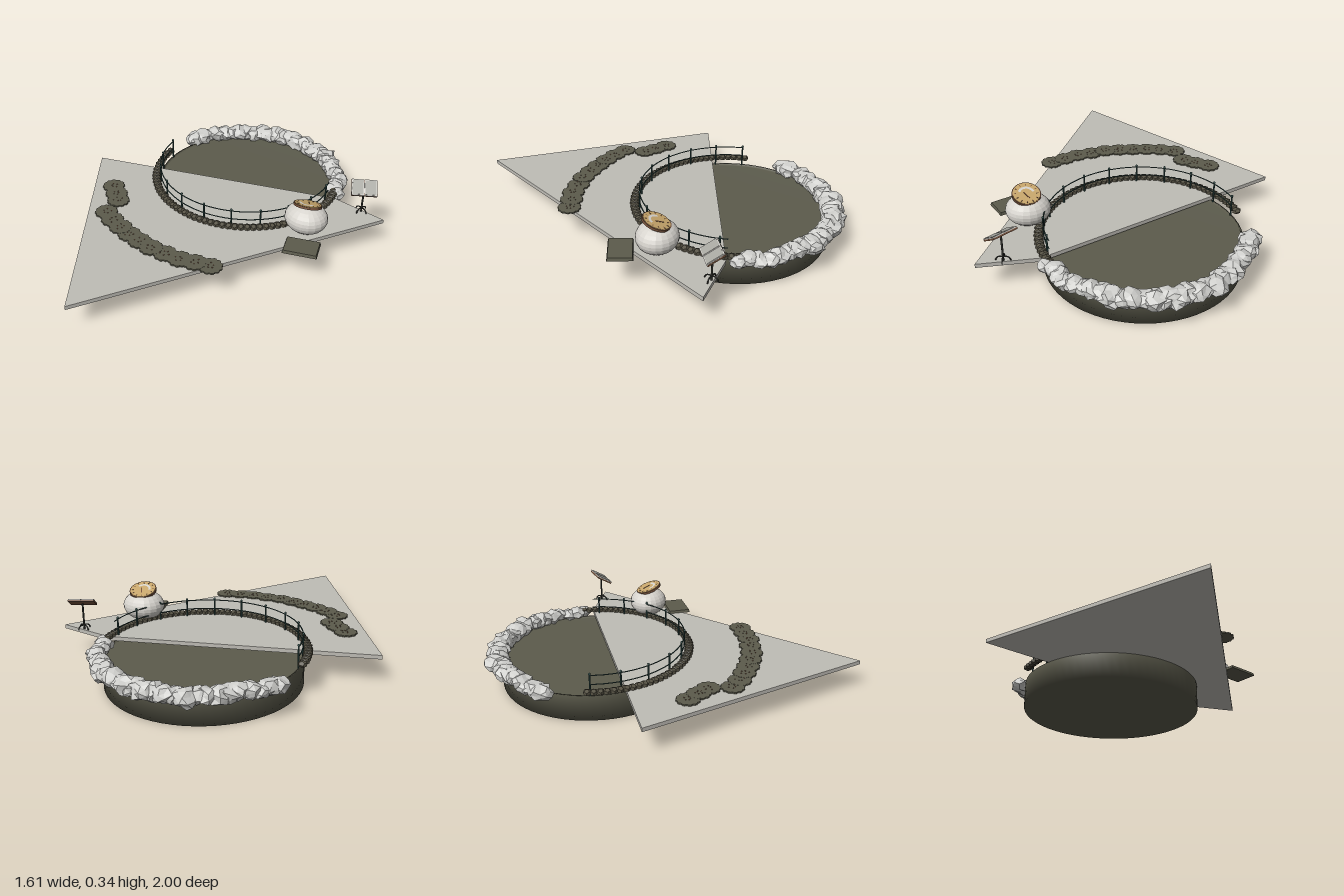
import * as THREE from 'three';

const mat = (name, color, extra = {}) => {
  const m = new THREE.MeshStandardMaterial({ color, ...extra });
  m.name = name;
  return m;
};

export function createModel() {
  const root = new THREE.Group();
  root.name = 'pondTerrace';
  const M = {
    olive: mat('olive', 0x5c5b4c),
    stone: mat('dark stone', 0x565244, { flatShading: true }),
    paving: mat('paving', 0xbfbdb6),
    rock: mat('rock', 0xd0d0cd, { flatShading: true }),
    ball: mat('pale stone', 0xd6d3cd, { flatShading: true }),
    teal: mat('railing teal', 0x2c4844),
    brown: mat('brown', 0x73503a),
    tan: mat('tan', 0xc8a76c),
    grey: mat('panel grey', 0xaaaaa3),
    dark: mat('dark metal', 0x33342f),
  };
  const add = (name, geo, material, x = 0, y = 0, z = 0, parent = root) => {
    const m = new THREE.Mesh(geo, material);
    m.name = name;
    m.position.set(x, y, z);
    parent.add(m);
    return m;
  };
  const group = (name, x = 0, y = 0, z = 0, parent = root) => {
    const g = new THREE.Group();
    g.name = name;
    g.position.set(x, y, z);
    parent.add(g);
    return g;
  };
  let seed = 7;
  const rand = () => (seed = (seed * 16807) % 2147483647) / 2147483647;

  // Points on circles around the pond; angle in degrees from the front (+z)
  const CX = -0.02, CZ = -0.42, TOP = 0.159;
  const around = (deg, r, y) => {
    const a = THREE.MathUtils.degToRad(deg);
    return new THREE.Vector3(CX + r * Math.sin(a), y, CZ + r * Math.cos(a));
  };

  // Round basin with a thin rim and slightly sunken surface
  const profile = [[0, 0], [0.497, 0], [0.497, 0.137], [0.487, 0.137], [0.487, 0.125], [0, 0.125]];
  const basinGeo = new THREE.LatheGeometry(profile.map(([x, y]) => new THREE.Vector2(x, y)), 64);
  add('basin', basinGeo, M.olive, CX, 0, CZ);

  // Pointed paving slab reaching over half of the basin
  const outline = [[-0.805, -0.04], [0.5, -0.537], [0.805, -0.523], [-0.01, 0.995]];
  const slab = new THREE.Shape(outline.map(([x, z]) => new THREE.Vector2(x, z)));
  const slabGeo = new THREE.ExtrudeGeometry(slab, { depth: 0.021, bevelEnabled: false });
  slabGeo.rotateX(Math.PI / 2);
  add('pavingSlab', slabGeo, M.paving, 0, TOP, 0);

  // Irregular boulder: every corner is pushed in or out
  const boulder = (size) => {
    const g = new THREE.IcosahedronGeometry(1, 1);
    const p = g.attributes.position;
    const scale = new Map();
    for (let i = 0; i < p.count; i++) {
      const key = [p.getX(i), p.getY(i), p.getZ(i)].map((v) => Math.round(v * 100)).join();
      if (!scale.has(key)) scale.set(key, size * (0.78 + 0.4 * rand()));
      const s = scale.get(key);
      p.setXYZ(i, p.getX(i) * s, p.getY(i) * s * 0.78, p.getZ(i) * s);
    }
    g.computeVertexNormals();
    return g;
  };
  const rocks = group('rocks');
  const ROCKS = 28;
  for (let i = 0; i < ROCKS; i++) {
    const t = i / (ROCKS - 1);
    const size = 0.041 + 0.011 * Math.sin(Math.PI * t) + 0.012 * rand() + (i > 25 ? 0.006 : 0);
    const c = around(109 + 144 * t, 0.502 + 0.03 * rand(), 0.15 + 0.012 * rand());
    const r = add('rock', boulder(size), M.rock, c.x, c.y, c.z, rocks);
    r.rotation.y = rand() * 6.28;
  }

  // Low kerb of small stones outside the railing
  const kerb = group('kerbStones');
  for (let deg = -82; deg <= 109; deg += 3.6) {
    const c = around(deg, 0.513, TOP + 0.009);
    const geo = new THREE.DodecahedronGeometry(0.025, 0);
    const s = add('kerbStone', geo, M.stone, c.x, c.y, c.z, kerb);
    s.scale.set(0.85, 0.68, 1);
    s.rotation.y = THREE.MathUtils.degToRad(deg);
  }

  // Curved railing: posts with caps and two rails
  const railing = group('railing');
  const R = 0.488;
  for (let i = 0; i <= 10; i++) {
    const c = around(-80.5 + 17.9 * i, R, 0.195);
    add('post', new THREE.CylinderGeometry(0.0045, 0.0045, 0.115, 8), M.teal, c.x, c.y, c.z, railing);
    add('postCap', new THREE.SphereGeometry(0.0065, 8, 6), M.teal, c.x, 0.254, c.z, railing);
  }
  for (const y of [0.197, 0.246]) {
    const pts = [];
    for (let i = 0; i <= 32; i++) pts.push(around(-80.5 + (183.5 * i) / 32, R, y));
    const path = new THREE.CatmullRomCurve3(pts);
    add('rail', new THREE.TubeGeometry(path, 64, 0.003, 6), M.teal, 0, 0, 0, railing);
  }

  // Flattened stone ball carrying a tilted dial
  const ball = add('stoneBall', new THREE.SphereGeometry(1, 20, 12, 0, Math.PI * 2, 0, 2.6), M.ball, 0.52, 0.228, -0.203);
  ball.scale.set(0.115, 0.079, 0.105);
  const dial = group('dial', 0.524, 0.309, -0.2);
  const up = new THREE.Vector3(-0.1, 1, -0.34).normalize();
  dial.quaternion.setFromUnitVectors(new THREE.Vector3(0, 1, 0), up);
  add('dialBase', new THREE.CylinderGeometry(0.073, 0.073, 0.012, 32), M.brown, 0, 0, 0, dial);
  add('dialFace', new THREE.CylinderGeometry(0.068, 0.068, 0.002, 32), M.tan, 0, 0.007, 0, dial);
  const inlay = new THREE.RingGeometry(0.03, 0.043, 24, 1, Math.PI * 1.1, Math.PI * 0.8);
  inlay.rotateX(-Math.PI / 2);
  add('dialInlay', inlay, M.ball, 0, 0.0085, 0, dial);
  for (let i = 0; i < 12; i++) {
    const a = (i * Math.PI) / 6;
    const tick = add('dialMark', new THREE.BoxGeometry(0.004, 0.001, 0.011), M.brown,
      0.056 * Math.sin(a), 0.0085, 0.056 * Math.cos(a), dial);
    tick.rotation.y = a;
  }
  const needle = add('dialNeedle', new THREE.BoxGeometry(0.005, 0.002, 0.045), M.brown, 0, 0.009, -0.012, dial);
  needle.rotation.y = 0.6;

  // Slanted two-leaf board on a post with curved feet
  const stand = group('readingStand', 0.672, 0, -0.519);
  stand.rotation.y = 0.553;
  add('standPost', new THREE.CylinderGeometry(0.005, 0.005, 0.14, 8), M.dark, 0, TOP + 0.07, 0, stand);
  for (let i = 0; i < 4; i++) {
    const a = Math.PI / 4 + (i * Math.PI) / 2;
    const at = (r, y) => new THREE.Vector3(r * Math.sin(a), y, r * Math.cos(a));
    const foot = new THREE.QuadraticBezierCurve3(at(0, 0.182), at(0.03, 0.188), at(0.036, 0.162));
    add('foot', new THREE.TubeGeometry(foot, 8, 0.0035, 6), M.dark, 0, 0, 0, stand);
  }
  const board = group('board', 0, 0.307, 0, stand);
  board.rotation.x = 0.54;
  add('boardBack', new THREE.BoxGeometry(0.134, 0.008, 0.094), M.brown, 0, 0, 0, board);
  for (const s of [-1, 1]) {
    add('leafBorder', new THREE.BoxGeometry(0.065, 0.005, 0.094), M.ball, s * 0.0335, 0.0065, 0, board);
    add('leafPanel', new THREE.BoxGeometry(0.057, 0.002, 0.084), M.grey, s * 0.0335, 0.0095, 0, board);
  }

  // Low plinth beside the ball, edges sloping outwards
  const plinthGeo = new THREE.BoxGeometry(0.177, 0.016, 0.126);
  const pp = plinthGeo.attributes.position;
  for (let i = 0; i < pp.count; i++) {
    if (pp.getY(i) > 0) pp.setXYZ(i, pp.getX(i) * 0.95, pp.getY(i), pp.getZ(i) * 0.93);
  }
  plinthGeo.computeVertexNormals();
  add('plinth', plinthGeo, M.olive, 0.598, 0.165, -0.045).rotation.y = 0.375;

  // Flat scalloped flower beds in two rows
  const bedShape = new THREE.Shape();
  for (let i = 0; i < 36; i++) {
    const a = (i * Math.PI) / 18;
    const r = i % 3 ? 0.061 : 0.055;
    bedShape[i ? 'lineTo' : 'moveTo'](r * Math.cos(a), r * Math.sin(a));
  }
  const bedGeo = new THREE.ExtrudeGeometry(bedShape, { depth: 0.008, bevelEnabled: false });
  bedGeo.rotateX(-Math.PI / 2);
  const beds = [
    [-0.53, 0.14], [-0.465, 0.185], [-0.41, 0.228],
    [-0.385, 0.345], [-0.31, 0.376], [-0.23, 0.397], [-0.152, 0.413], [-0.072, 0.423],
    [0.01, 0.428], [0.095, 0.418], [0.18, 0.407], [0.255, 0.381], [0.333, 0.355],
  ];
  const flowerBeds = group('flowerBeds');
  beds.forEach(([x, z], i) => {
    const bed = group('flowerBed', x, TOP + 0.0006 * (i % 3), z, flowerBeds);
    bed.rotation.y = i * 0.7;
    add('leaves', bedGeo, M.olive, 0, 0, 0, bed);
    for (let k = 0; k < 5; k++) {
      const a = k * 1.257, r = 0.01 + 0.018 * rand();
      add('bloom', new THREE.SphereGeometry(0.0035, 6, 4), M.brown, r * Math.cos(a), 0.008, r * Math.sin(a), bed);
    }
  });
  return root;
}
